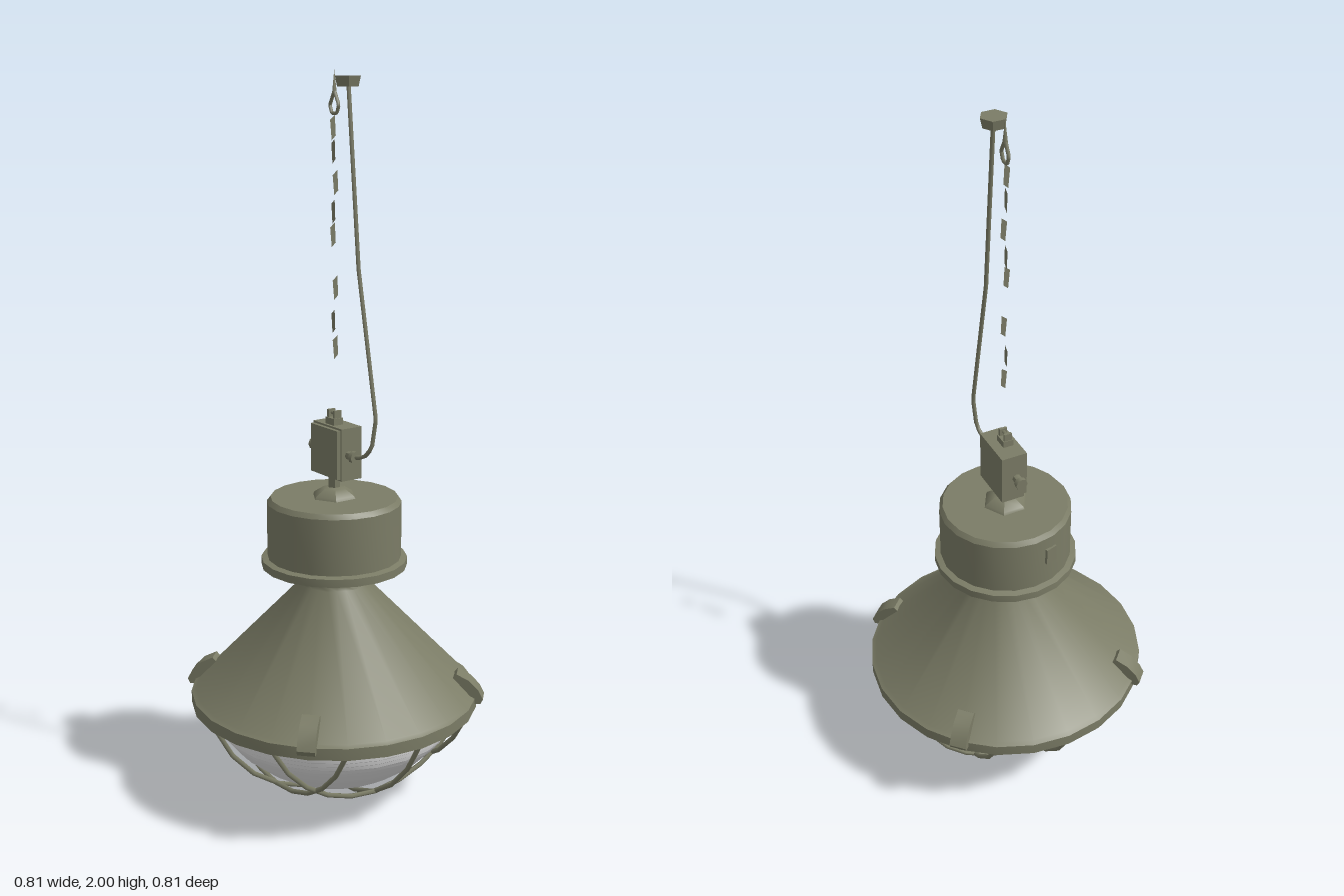
import * as THREE from 'three';
import { toCreasedNormals } from 'three/addons/utils/BufferGeometryUtils.js';

export function createModel() {
  const model = new THREE.Group();
  model.name = 'pendantLamp';
  const olive = new THREE.MeshStandardMaterial({ color: 0x7b7c66, side: THREE.DoubleSide });
  olive.name = 'olive paint';
  const grey = new THREE.MeshStandardMaterial({ color: 0xe4e4e4, side: THREE.DoubleSide });
  grey.name = 'frosted glass';

  function add(name, geometry, material = olive) {
    const mesh = new THREE.Mesh(geometry, material);
    mesh.name = name;
    model.add(mesh);
    return mesh;
  }
  // Profile points are [radius, y], from the bottom outwards and up
  function lathe(name, profile, sides, material = olive) {
    const points = profile.map(([r, y]) => new THREE.Vector2(r, y));
    return add(name, toCreasedNormals(new THREE.LatheGeometry(points, sides), 0.6), material);
  }
  // A tension of 0 gives straight runs between the points
  function tube(name, points, radius, segments, closed = false, tension = 0.5) {
    const path = points.map((p) => new THREE.Vector3(...p));
    const curve = new THREE.CatmullRomCurve3(path, closed, 'catmullrom', tension);
    return add(name, new THREE.TubeGeometry(curve, segments, radius, 5, closed));
  }

  // Conical shade with rim and neck
  lathe('shade', [[0.36, 0.285], [0.372, 0.27], [0.405, 0.27], [0.405, 0.303], [0.392, 0.31],
    [0.095, 0.62], [0.092, 0.63], [0.092, 0.69]], 24);

  // Ballast housing with a grooved underside
  lathe('housing', [[0.08, 0.69], [0.12, 0.69], [0.12, 0.677], [0.15, 0.677], [0.15, 0.688],
    [0.175, 0.688], [0.178, 0.67], [0.203, 0.67], [0.203, 0.692], [0.186, 0.696],
    [0.186, 0.852], [0.176, 0.865], [0, 0.865]], 20);
  const plate = add('housingPlate', new THREE.BoxGeometry(0.035, 0.05, 0.008));
  plate.position.set(-0.18, 0.79, 0.05);
  plate.rotation.y = Math.atan2(-0.18, 0.05);

  // Ribbed glass dome: a spherical cap with steps in its upper half
  const radius = 0.396, bottom = 0.028;
  const capRadius = (y) => Math.sqrt(radius ** 2 - (radius - (y - bottom)) ** 2);
  const dome = [];
  for (let i = 0; i <= 6; i++) {
    const a = (i / 6) * Math.acos(1 - (0.14 - bottom) / radius);
    dome.push([radius * Math.sin(a), bottom + radius * (1 - Math.cos(a))]);
  }
  for (let i = 0; i < 9; i++) {
    const y = 0.14 + i * 0.015;
    dome.push([capRadius(y) + 0.006, y + 0.004], [capRadius(y + 0.015), y + 0.015]);
  }
  lathe('glassDome', dome, 24, grey);

  // Wire guard: crossing arcs on a larger spherical cap
  const guardRadius = 0.4225, rim = 0.39;
  for (const turned of [false, true]) {
    for (const offset of [-0.2, 0, 0.2]) {
      const half = Math.sqrt(rim ** 2 - offset ** 2);
      const points = [];
      for (let i = 0; i <= 10; i++) {
        const t = -Math.cos((i / 10) * Math.PI) * half;
        const y = 0.008 + guardRadius - Math.sqrt(guardRadius ** 2 - t * t - offset * offset);
        points.push(turned ? [offset, y, t] : [t, y, offset]);
      }
      tube('guardWire', points, 0.007, 10);
    }
  }

  // Four bent clips holding the guard to the rim
  const clipShape = new THREE.Shape([[0.335, 0.355], [0.35, 0.372], [0.385, 0.355], [0.412, 0.328],
    [0.425, 0.302], [0.418, 0.288], [0.4, 0.288], [0.395, 0.305]]
    .map(([x, y]) => new THREE.Vector2(x, y)).reverse());
  for (let i = 0; i < 4; i++) {
    const clip = new THREE.ExtrudeGeometry(clipShape, { depth: 0.048, bevelEnabled: false });
    clip.translate(0, 0, -0.024);
    add('rimClip', toCreasedNormals(clip, 0.7)).rotation.y = Math.PI / 4 + (i * Math.PI) / 2;
  }

  // Hexagonal mount and stem
  lathe('mount', [[0.065, 0.863], [0.06, 0.872], [0.032, 0.89], [0.018, 0.893],
    [0.018, 0.93], [0, 0.93]], 6);

  // Junction box with lid, cable glands and hanging eye
  add('junctionBox', new THREE.BoxGeometry(0.135, 0.145, 0.066)).position.set(0, 0.997, -0.01);
  add('boxLid', new THREE.BoxGeometry(0.125, 0.135, 0.012)).position.set(0, 0.997, 0.028);
  for (const side of [-1, 1]) {
    const parts = [['gland', 0.012, 0.04, 0.08], ['glandNut', 0.017, 0.014, 0.094]];
    for (const [name, r, length, x] of parts) {
      const part = add(name, toCreasedNormals(new THREE.CylinderGeometry(r, r, length, 8), 0.9));
      part.rotation.z = Math.PI / 2;
      part.position.set(side * x, 0.995, 0);
    }
    add('eyeLug', new THREE.BoxGeometry(0.008, 0.042, 0.022)).position.set(side * 0.014, 1.088, 0);
  }
  add('eyeBase', new THREE.BoxGeometry(0.04, 0.02, 0.03)).position.set(0, 1.078, 0);
  const pin = add('eyePin', new THREE.CylinderGeometry(0.005, 0.005, 0.034, 6));
  pin.rotation.z = Math.PI / 2;
  pin.position.set(0, 1.1, 0);

  // Supply cable and its ceiling rose
  tube('cable', [[0.062, 1.965, 0], [0.106, 1.5, -0.002], [0.168, 1.11, -0.015],
    [0.155, 1.03, -0.012], [0.13, 1.0, -0.004], [0.095, 0.995, 0]], 0.006, 48, false, 0);
  const rose = add('ceilingRose', new THREE.CylinderGeometry(0.036, 0.03, 0.026, 6).toNonIndexed());
  rose.geometry.computeVertexNormals();
  rose.position.set(0.06, 1.971, 0);

  // Hook at the top of the chain
  tube('hookLoop', [[0, 1.948, 0], [0.02, 1.912, 0], [0.011, 1.891, 0], [-0.011, 1.891, 0],
    [-0.02, 1.912, 0]], 0.005, 20, true, 0);
  add('hookTip', new THREE.ConeGeometry(0.007, 0.06, 5)).position.set(0, 1.97, 0);

  // Slender chain links, alternately turned, as flat slivers
  const sliver = new THREE.Shape([[-0.004, -0.032], [0.009, -0.02], [0.006, 0.032], [-0.009, 0.02]]
    .map(([x, y]) => new THREE.Vector2(x, y)));
  const links = [[1.855, 1], [1.795, 0], [1.715, 1], [1.64, 0], [1.58, 1], [1.44, 1], [1.35, 0], [1.28, 1]];
  links.forEach(([y, turned], i) => {
    const link = add('chainLink', new THREE.ShapeGeometry(sliver));
    const shift = i % 4 ? -0.004 : 0.004;
    link.position.set(turned ? 0 : shift, y, turned ? shift : 0);
    link.rotation.y = turned ? Math.PI / 2 : 0;
  });

  return model;
}
